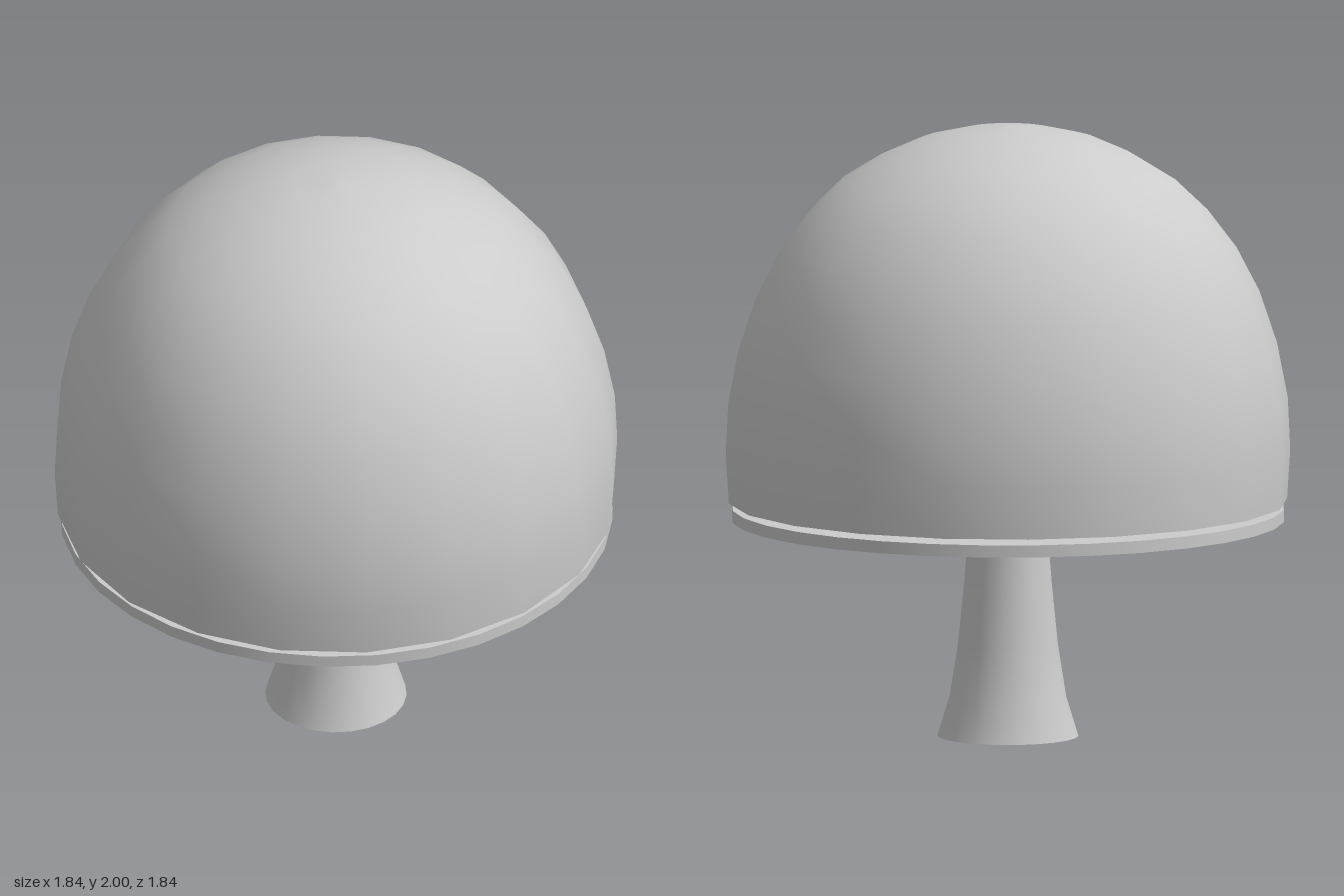
import * as THREE from 'three';

const material = new THREE.MeshStandardMaterial({ color: 0xcccccc });
const openMaterial = new THREE.MeshStandardMaterial({ color: 0xcccccc, side: THREE.DoubleSide });

function part(name, geometry, mat = material) {
  const mesh = new THREE.Mesh(geometry, mat);
  mesh.name = name;
  return mesh;
}

// Smooth turned surface from [radius, height] pairs, listed bottom to top
function turned(profile, sides) {
  return new THREE.LatheGeometry(profile.map(([r, y]) => new THREE.Vector2(r, y)), sides);
}

export function createModel() {
  const group = new THREE.Group();
  group.name = 'mushroom';

  // Domed cap, open underneath, tucking in slightly at its rim
  group.add(part('cap', turned([
    [0.91, 0.77], [0.92, 0.93], [0.912, 1.1], [0.877, 1.28], [0.82, 1.45], [0.745, 1.595],
    [0.65, 1.72], [0.545, 1.82], [0.42, 1.897], [0.285, 1.957], [0.144, 1.99], [0, 2],
  ], 20), openMaterial));

  // Thin disc just below the cap
  const gills = part('gills', new THREE.CylinderGeometry(0.9, 0.9, 0.04, 32));
  gills.position.y = 0.73;
  group.add(gills);

  // Stem flaring towards the ground
  const stem = new THREE.Group();
  stem.name = 'stem';
  stem.add(part('stemSide', turned([
    [0.23, 0], [0.19, 0.13], [0.163, 0.3], [0.143, 0.5], [0.131, 0.65], [0.128, 0.72],
  ], 24)));
  const base = part('stemBase', new THREE.CircleGeometry(0.23, 24));
  base.rotation.x = Math.PI / 2;
  stem.add(base);
  group.add(stem);

  return group;
}
